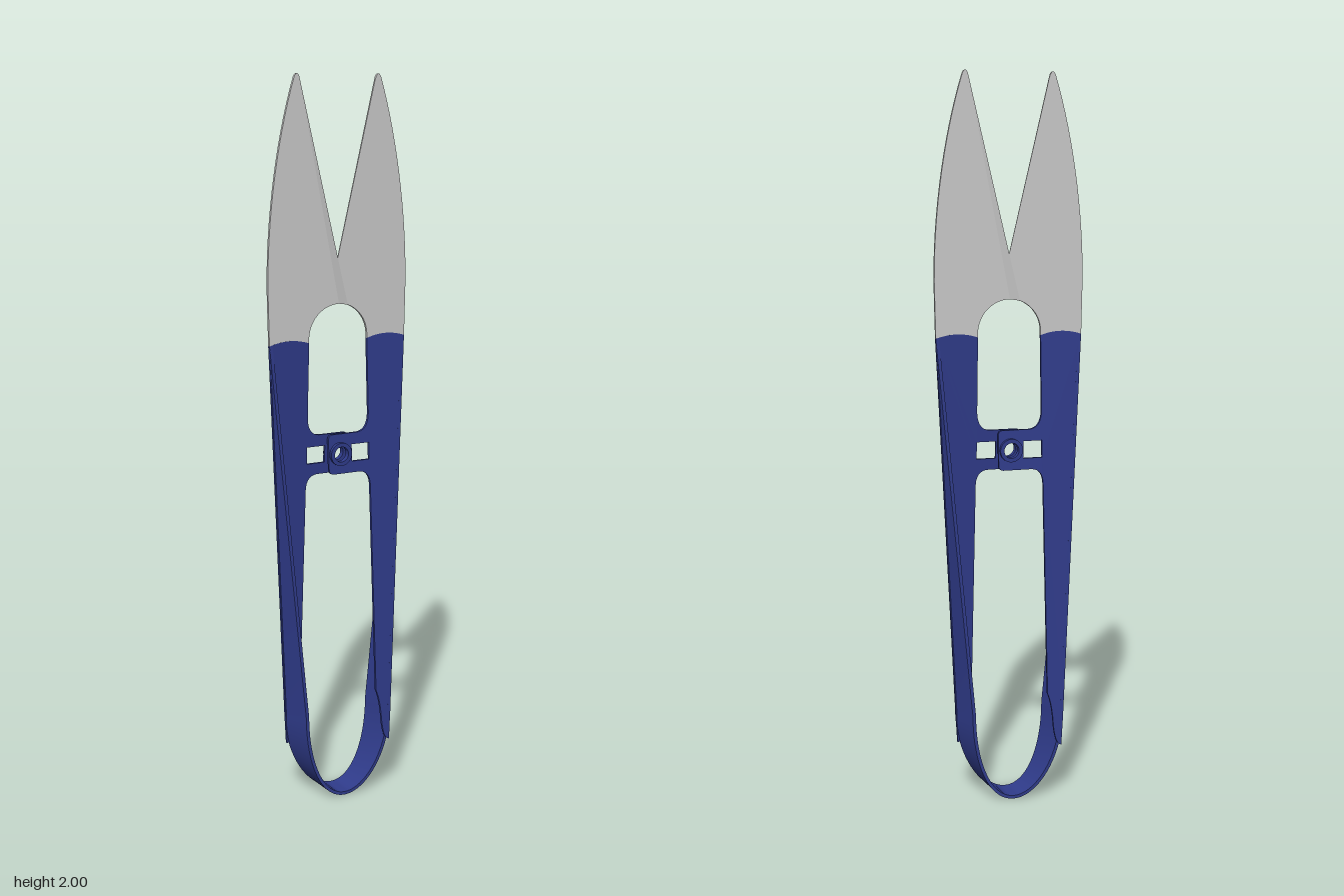
import * as THREE from 'three';
import { toCreasedNormals } from 'three/addons/utils/BufferGeometryUtils.js';

const steel = new THREE.MeshStandardMaterial({ color: 0xcccccc });
const blue = new THREE.MeshStandardMaterial({ color: 0x303c8c });
const THICK = 0.008;

function part(name, geometry, material) {
  const mesh = new THREE.Mesh(toCreasedNormals(geometry, 0.5), material);
  mesh.name = name;
  return mesh;
}

function extrude(shape, depth = THICK) {
  return new THREE.ExtrudeGeometry(shape, { depth, bevelEnabled: false, curveSegments: 14 });
}

// Moves every vertex in z by a rule
function shiftZ(geometry, rule) {
  const p = geometry.attributes.position;
  for (let i = 0; i < p.count; i++) p.setZ(i, rule(p.getX(i), p.getY(i), p.getZ(i)));
  geometry.computeVertexNormals();
  return geometry;
}

// Handle plate leans backwards towards the spring end
const plateZ = (y) => -0.052 * (1.3 - y) / 1.05;

function bladeBody() {
  const s = new THREE.Shape();
  s.moveTo(-0.09, 1.3);
  s.quadraticCurveTo(-0.148, 1.32, -0.207, 1.3);
  s.lineTo(-0.21, 1.45);
  s.bezierCurveTo(-0.21, 1.65, -0.175, 1.85, -0.13, 1.99);
  s.quadraticCurveTo(-0.122, 2.007, -0.115, 1.99);
  s.lineTo(0, 1.4);
  s.absellipse(0, 1.31, 0.09, 0.09, Math.PI / 2, Math.PI, false);
  return extrude(s);
}

// Ground cutting edge, thinned towards its outer line
function bladeEdge() {
  const s = new THREE.Shape();
  s.moveTo(0, 1.4);
  s.lineTo(-0.115, 1.99);
  s.lineTo(-0.112, 1.983);
  s.lineTo(0.03, 1.395);
  const bevelX = (y) => -0.115 * (y - 1.4) / 0.59;
  return shiftZ(extrude(s), (x, y, z) => (z > 0 && x > bevelX(y) + 0.001 ? 0.002 : z));
}

// Handle plate with the guide arm reaching to the middle
function handlePlate() {
  const s = new THREE.Shape();
  s.moveTo(-0.207, 1.3);
  s.lineTo(-0.143, 0.25);
  s.lineTo(-0.136, 0.15);
  s.quadraticCurveTo(-0.118, 0.15, -0.113, 0.21);
  s.quadraticCurveTo(-0.11, 0.27, -0.097, 0.3);
  s.lineTo(-0.092, 0.89);
  s.quadraticCurveTo(-0.092, 0.935, -0.055, 0.935);
  s.lineTo(0.02, 0.935);
  s.quadraticCurveTo(0.035, 0.935, 0.035, 0.95);
  s.lineTo(0.035, 1.03);
  s.quadraticCurveTo(0.035, 1.045, 0.02, 1.045);
  s.lineTo(-0.05, 1.045);
  s.quadraticCurveTo(-0.09, 1.045, -0.09, 1.1);
  s.lineTo(-0.09, 1.3);
  s.quadraticCurveTo(-0.148, 1.32, -0.207, 1.3);

  const slot = new THREE.Path();
  slot.moveTo(-0.09, 0.966);
  slot.lineTo(-0.036, 0.966);
  slot.lineTo(-0.036, 1.013);
  slot.lineTo(-0.09, 1.013);
  slot.closePath();
  const hole = new THREE.Path();
  hole.absarc(0, 0.99, 0.021, 0, Math.PI * 2, true);
  s.holes.push(slot, hole);
  return shiftZ(extrude(s), (x, y, z) => z + plateZ(y));
}

// Raised collar around the guide hole
function collar() {
  const s = new THREE.Shape();
  s.absarc(0, 0.99, 0.032, 0, Math.PI * 2, false);
  const hole = new THREE.Path();
  hole.absarc(0, 0.99, 0.021, 0, Math.PI * 2, true);
  s.holes.push(hole);
  return extrude(s, 0.014).translate(0, 0, -0.024);
}

// One continuous band: side flange, U-shaped spring, opposite side flange
function springBand() {
  const front = [], back = [];
  const leg = (side, k) => {
    const y = 0.25 + 1.05 * k;
    const wide = side * (0.143 + 0.064 * k), narrow = side * (0.115 + 0.092 * k);
    const deep = 0.052 * (1 - k), shallow = 0.03 + (THICK - 0.03) * k;
    front.push(new THREE.Vector3(side < 0 ? narrow : wide, y, side < 0 ? shallow : deep));
    back.push(new THREE.Vector3(side < 0 ? wide : narrow, y, side < 0 ? -deep : -shallow));
  };
  const LEG = 6, ARC = 40;
  for (let i = LEG; i > 0; i--) leg(-1, i / LEG);
  for (let i = 0; i <= ARC; i++) {
    const t = (i / ARC - 0.5) * Math.PI, s = Math.sin(t), y = 0.25 * (1 - Math.cos(t));
    front.push(new THREE.Vector3(s * (0.129 + 0.014 * s), y, 0.041 + 0.011 * s));
    back.push(new THREE.Vector3(s * (0.129 - 0.014 * s), y, -0.041 + 0.011 * s));
  }
  for (let i = 1; i <= LEG; i++) leg(1, i / LEG);

  // Inner edge: offset square to the path in the xy plane
  const inset = (line, i) => {
    const a = line[Math.max(i - 1, 0)], b = line[Math.min(i + 1, line.length - 1)];
    const d = new THREE.Vector3(a.y - b.y, b.x - a.x, 0).setLength(0.009);
    return d.add(line[i]);
  };
  const positions = [], index = [], n = front.length;
  for (let i = 0; i < n; i++) {
    for (const v of [back[i], front[i], inset(front, i), inset(back, i)]) positions.push(v.x, v.y, v.z);
  }
  for (let i = 0; i < n - 1; i++) {
    for (let j = 0; j < 4; j++) {
      const a = i * 4 + j, b = i * 4 + (j + 1) % 4;
      index.push(a, a + 4, b, b, a + 4, b + 4);
    }
  }
  const e = (n - 1) * 4;
  index.push(0, 1, 2, 0, 2, 3, e, e + 2, e + 1, e, e + 3, e + 2);
  const g = new THREE.BufferGeometry();
  g.setAttribute('position', new THREE.Float32BufferAttribute(positions, 3));
  g.setIndex(index);
  g.computeVertexNormals();
  return g;
}

export function createModel() {
  const model = new THREE.Group();
  model.name = 'threadSnips';

  // The two halves are the same piece turned half a turn
  for (const side of ['right', 'left']) {
    const half = new THREE.Group();
    half.name = side + 'Half';
    half.add(
      part(side + 'Blade', bladeBody(), steel),
      part(side + 'CuttingEdge', bladeEdge(), steel),
      part(side + 'HandlePlate', handlePlate(), blue),
      part(side + 'GuideCollar', collar(), blue)
    );
    if (side === 'left') half.rotation.y = Math.PI;
    model.add(half);
  }
  const band = part('springBand', springBand(), blue);
  band.material = blue.clone();
  band.material.side = THREE.DoubleSide;
  model.add(band);
  return model;
}
